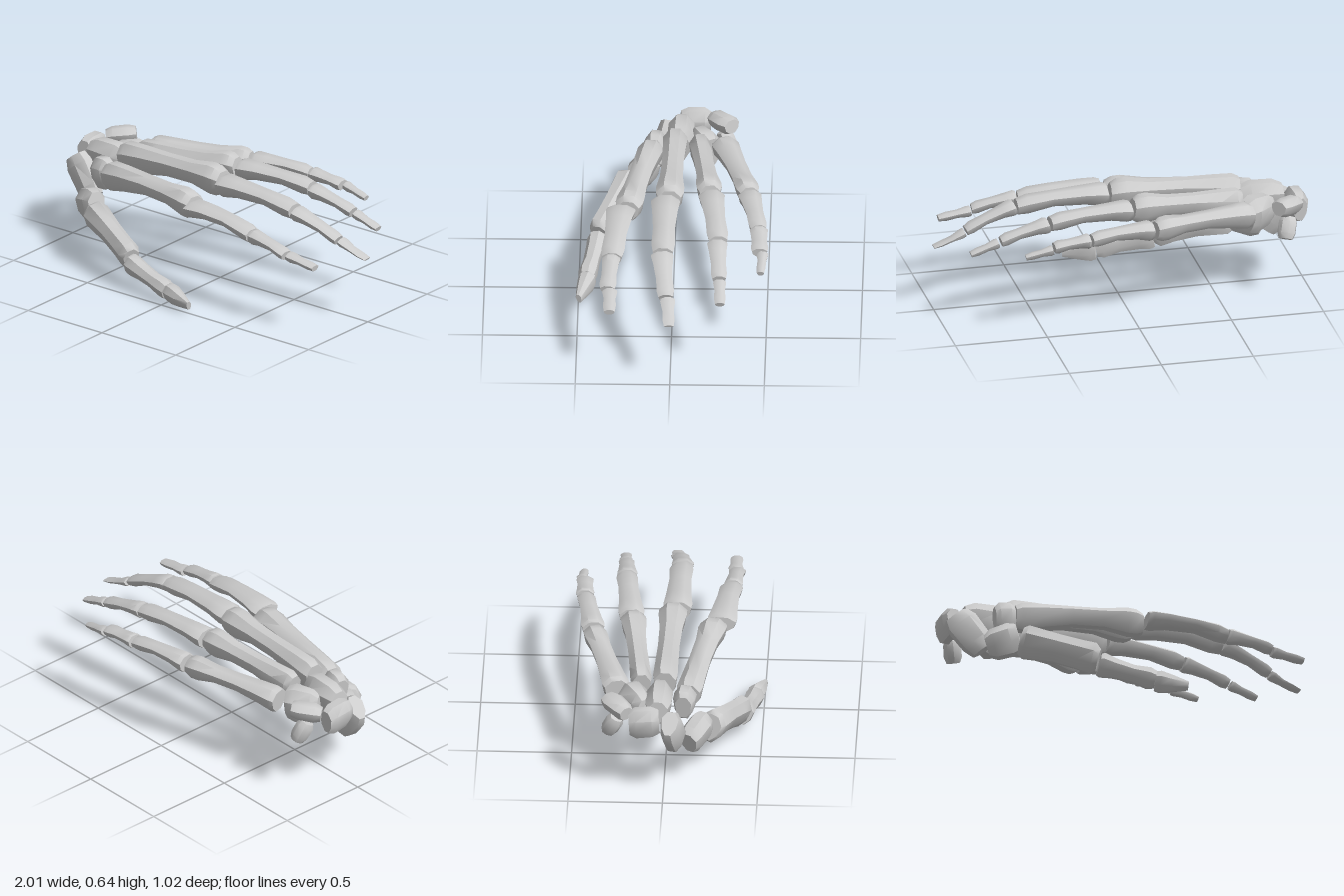
import * as THREE from 'three';
import { toCreasedNormals } from 'three/addons/utils/BufferGeometryUtils.js';

const material = new THREE.MeshStandardMaterial({ color: 0xcccccc });
const SIDES = 8;

// Cross-section scale along a bone: [t, height, width], blended between its two ends.
const PROFILES = {
  shaft: [[0, 0.85, 0.88], [0.05, 1, 1], [0.2, 0.88, 0.92], [0.45, 0.7, 0.82], [0.7, 0.72, 0.84], [0.88, 1, 1], [0.95, 0.97, 0.98], [1, 0.75, 0.8]],
  thumbShaft: [[0, 0.8, 0.8], [0.06, 1, 1], [0.45, 0.9, 0.88], [0.75, 0.95, 0.92], [0.93, 1.05, 1], [1, 0.75, 0.8]],
  phalanx: [[0, 0.88, 0.92], [0.06, 1, 1], [0.25, 0.85, 0.92], [0.6, 0.76, 0.86], [0.88, 1, 1], [1, 0.85, 0.9]],
  tip: [[0, 0.9, 0.9], [0.1, 1, 1], [0.4, 0.78, 0.84], [0.75, 0.9, 1], [1, 0.7, 0.9]],
  thumbTip: [[0, 0.8, 0.85], [0.15, 1, 1], [0.5, 1, 1], [1, 0.85, 0.75]],
  chunk: [[0, 0.75, 0.75], [0.22, 1, 0.97], [0.75, 0.97, 1], [1, 0.75, 0.75]],
};

// Lofted bone from a to b; r0 and r1 are [half height, half width] at the ends.
function bone(name, kind, a, b, r0, r1, bow = 0, roll = 0) {
  const A = new THREE.Vector3(...a), B = new THREE.Vector3(...b);
  const dir = B.clone().sub(A).normalize();
  const side = dir.clone().cross(new THREE.Vector3(0, 1, 0)).normalize().applyAxisAngle(dir, roll);
  const up = side.clone().cross(dir);
  const rows = PROFILES[kind];
  const pos = [], index = [];
  for (const [t, sh, sw] of rows) {
    const c = A.clone().lerp(B, t).addScaledVector(up, bow * Math.sin(Math.PI * t));
    const h = sh * THREE.MathUtils.lerp(r0[0], r1[0], t);
    const w = sw * THREE.MathUtils.lerp(r0[1], r1[1], t);
    for (let j = 0; j < SIDES; j++) {
      const q = ((j + 0.5) / SIDES) * Math.PI * 2;
      // Slightly narrower towards the palm
      const taper = Math.cos(q) < 0 ? 0.9 : 1.06;
      const p = c.clone().addScaledVector(up, 1.07 * h * Math.cos(q)).addScaledVector(side, w * taper * Math.sin(q));
      pos.push(p.x, p.y, p.z);
    }
  }
  const last = rows.length - 1;
  for (let i = 0; i < last; i++) {
    for (let j = 0; j < SIDES; j++) {
      const k = (j + 1) % SIDES, p = i * SIDES, n = p + SIDES;
      index.push(p + j, p + k, n + j, p + k, n + k, n + j);
    }
  }
  for (let j = 1; j < SIDES - 1; j++) {
    const e = last * SIDES;
    index.push(0, j + 1, j, e, e + j, e + j + 1);
  }
  const geo = new THREE.BufferGeometry();
  geo.setAttribute('position', new THREE.Float32BufferAttribute(pos, 3));
  geo.setIndex(index);
  const mesh = new THREE.Mesh(toCreasedNormals(geo, 0.75), material);
  mesh.name = name;
  return mesh;
}

// Each finger: metacarpal, phalanges and tip as [start, end, startRadii, endRadii, bow]
const FINGERS = {
  index: [
    [[-0.655, 0.46, 0.125], [0.02, 0.488, 0.24], [0.078, 0.07], [0.073, 0.076], 0.025],
    [[0.03, 0.495, 0.275], [0.47, 0.46, 0.315], [0.046, 0.082], [0.042, 0.06], 0.025],
    [[0.475, 0.46, 0.318], [0.715, 0.415, 0.335], [0.042, 0.05], [0.028, 0.045], 0.01],
    [[0.725, 0.41, 0.322], [0.9, 0.385, 0.322], [0.027, 0.042], [0.022, 0.033], 0],
  ],
  middle: [
    [[-0.655, 0.525, 0], [0.04, 0.562, 0.02], [0.088, 0.066], [0.08, 0.078], 0.02],
    [[0.05, 0.558, 0.04], [0.54, 0.532, 0.045], [0.06, 0.08], [0.046, 0.062], 0.02],
    [[0.55, 0.53, 0.05], [0.82, 0.43, 0.025], [0.042, 0.062], [0.028, 0.045], 0.01],
    [[0.83, 0.425, 0.015], [1, 0.362, 0.005], [0.024, 0.042], [0.008, 0.03], -0.005],
  ],
  ring: [
    [[-0.635, 0.5, -0.125], [-0.035, 0.558, -0.193], [0.088, 0.058], [0.075, 0.07], 0.015],
    [[-0.02, 0.555, -0.2], [0.425, 0.542, -0.245], [0.055, 0.072], [0.042, 0.056], 0.018],
    [[0.435, 0.535, -0.24], [0.695, 0.47, -0.255], [0.042, 0.056], [0.03, 0.042], 0.008],
    [[0.71, 0.465, -0.258], [0.86, 0.415, -0.262], [0.026, 0.036], [0.02, 0.03], 0],
  ],
  little: [
    [[-0.66, 0.49, -0.255], [-0.11, 0.515, -0.4], [0.068, 0.075], [0.062, 0.062], 0.015],
    [[-0.09, 0.517, -0.4], [0.25, 0.515, -0.455], [0.052, 0.065], [0.036, 0.047], 0.015],
    [[0.26, 0.515, -0.457], [0.455, 0.497, -0.465], [0.038, 0.05], [0.03, 0.047], 0.005],
    [[0.465, 0.493, -0.482], [0.61, 0.46, -0.472], [0.026, 0.032], [0.02, 0.022], 0],
  ],
  thumb: [
    [[-0.665, 0.275, 0.24], [-0.285, 0.16, 0.395], [0.09, 0.074], [0.08, 0.06], 0.008],
    [[-0.285, 0.135, 0.4], [0.01, 0.07, 0.455], [0.066, 0.055], [0.056, 0.05], 0],
    [[0.015, 0.066, 0.448], [0.185, 0.045, 0.497], [0.064, 0.052], [0.028, 0.02], 0],
  ],
};

// Wrist bones: [name, start, end, startRadii, endRadii, roll]
const WRIST = [
  ['triangularBone', [-0.93, 0.505, -0.195], [-0.805, 0.525, -0.295], [0.05, 0.055], [0.05, 0.065], 0],
  ['peaBone', [-0.875, 0.455, -0.245], [-0.845, 0.35, -0.295], [0.045, 0.05], [0.045, 0.05], 0],
  ['hookBone', [-0.81, 0.46, -0.1], [-0.655, 0.45, -0.185], [0.08, 0.055], [0.115, 0.09], 0],
  ['moonBone', [-0.95, 0.46, -0.18], [-0.94, 0.47, -0.02], [0.085, 0.055], [0.085, 0.06], 0],
  ['headBone', [-0.89, 0.49, -0.03], [-0.66, 0.475, -0.022], [0.085, 0.072], [0.11, 0.072], 0],
  ['boatBone', [-0.955, 0.465, 0.035], [-0.81, 0.275, 0.06], [0.09, 0.062], [0.085, 0.062], 0],
  ['smallMultangularBone', [-0.76, 0.45, 0.1], [-0.65, 0.46, 0.115], [0.085, 0.06], [0.09, 0.062], 0],
  ['largeMultangularBone', [-0.815, 0.265, 0.13], [-0.665, 0.31, 0.215], [0.08, 0.07], [0.098, 0.065], 0],
];

export function createModel() {
  const hand = new THREE.Group();
  hand.name = 'handSkeleton';

  for (const [finger, parts] of Object.entries(FINGERS)) {
    const group = new THREE.Group();
    group.name = finger + 'Finger';
    const thumb = finger === 'thumb';
    parts.forEach(([a, b, r0, r1, bow], i) => {
      const isTip = i === parts.length - 1;
      let kind = 'phalanx';
      if (i === 0) kind = thumb ? 'thumbShaft' : 'shaft';
      if (isTip) kind = thumb ? 'thumbTip' : 'tip';
      const label = i === 0 ? 'Metacarpal' : isTip ? 'TipBone' : 'Phalanx' + i;
      group.add(bone(finger + label, kind, a, b, r0, r1, bow, thumb ? 0.25 : 0));
    });
    hand.add(group);
  }

  const wrist = new THREE.Group();
  wrist.name = 'wrist';
  for (const [name, a, b, r0, r1, roll] of WRIST) wrist.add(bone(name, 'chunk', a, b, r0, r1, 0, roll));
  hand.add(wrist);
  return hand;
}
